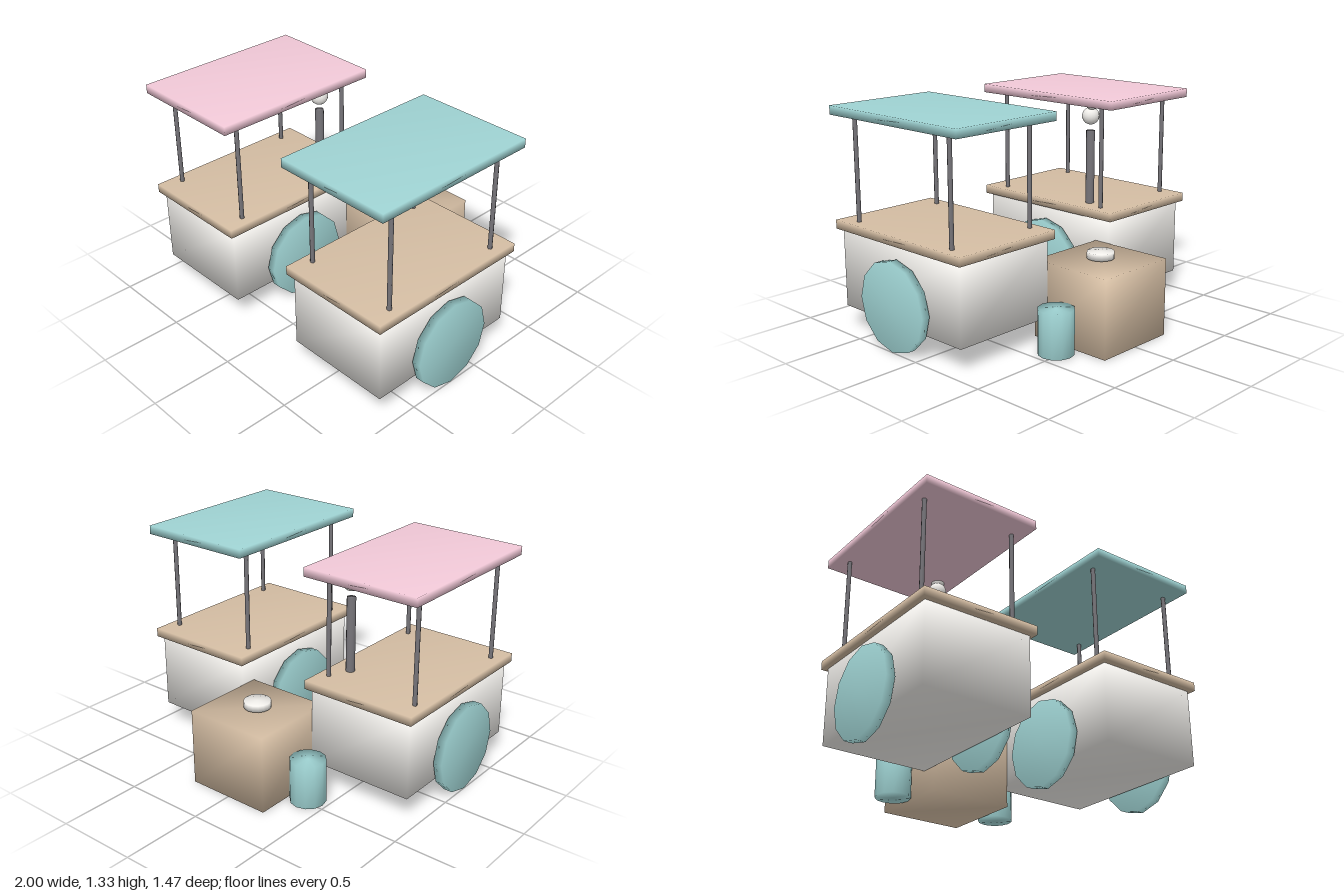
import * as THREE from 'three';
import { mergeVertices } from 'three/addons/utils/BufferGeometryUtils.js';

const paint = (color) => new THREE.MeshStandardMaterial({ color });
const teal = paint(0x9fd3d3), pink = paint(0xf2c9d8), tan = paint(0xd4bda3);
const cream = paint(0xf0eeea), iron = paint(0x77757a);

// Weld corners so the shading runs smoothly over the edges
function soften(geometry) {
  geometry.deleteAttribute('normal');
  geometry.deleteAttribute('uv');
  const welded = mergeVertices(geometry, 1e-4);
  welded.computeVertexNormals();
  return welded;
}

function add(parent, name, geometry, material, x, y, z) {
  const mesh = new THREE.Mesh(soften(geometry), material);
  mesh.name = name;
  mesh.position.set(x, y, z);
  parent.add(mesh);
  return mesh;
}

const box = (w, h, d) => new THREE.BoxGeometry(w, h, d);
const cylinder = (r, h, sides) => new THREE.CylinderGeometry(r, r, h, sides);

// Market cart: body, counter, four posts, canopy and two wheels
function createCart(name, x, canopyMaterial) {
  const cart = new THREE.Group();
  cart.name = name;
  cart.position.set(x, 0, 0.2);
  add(cart, 'body', box(0.667, 0.47, 1), cream, 0, 0.375, 0);
  add(cart, 'counter', box(0.72, 0.053, 1.067), tan, 0, 0.637, 0);
  add(cart, 'canopy', box(0.733, 0.053, 1.067), canopyMaterial, 0, 1.307, 0);
  for (const side of [-1, 1]) {
    for (const end of [-1, 1]) {
      add(cart, 'post', cylinder(0.0133, 0.64, 8), iron, side * 0.293, 0.973, end * 0.4);
    }
    const wheel = add(cart, 'wheel', cylinder(0.267, 0.053, 12), teal, side * 0.373, 0.267, 0);
    wheel.rotation.z = Math.PI / 2;
  }
  return cart;
}

export function createModel() {
  const model = new THREE.Group();
  model.name = 'marketCarts';
  const rightCart = createCart('rightCart', -0.6, pink);
  model.add(rightCart, createCart('leftCart', 0.6, teal));

  // Chimney with smoke puffs on the right cart
  add(rightCart, 'chimney', cylinder(0.0267, 0.467, 12), iron, 0.24, 0.882, -0.267);
  add(rightCart, 'lowerPuff', new THREE.SphereGeometry(0.053, 16, 12), cream, 0.24, 1.205, -0.267);
  add(rightCart, 'upperPuff', new THREE.SphereGeometry(0.04, 16, 12), cream, 0.26, 1.287, -0.293);

  // Crate table with a plate above it and two stools
  const table = new THREE.Group();
  table.name = 'table';
  table.position.z = -0.467;
  model.add(table);
  add(table, 'crate', box(0.533, 0.467, 0.533), tan, 0, 0.2335, 0);
  add(table, 'plate', cylinder(0.08, 0.04, 16), cream, 0, 0.495, 0);
  for (const side of [-1, 1]) {
    add(table, 'stool', cylinder(0.106, 0.267, 12), teal, side * 0.373, 0.1335, 0);
  }
  return model;
}
